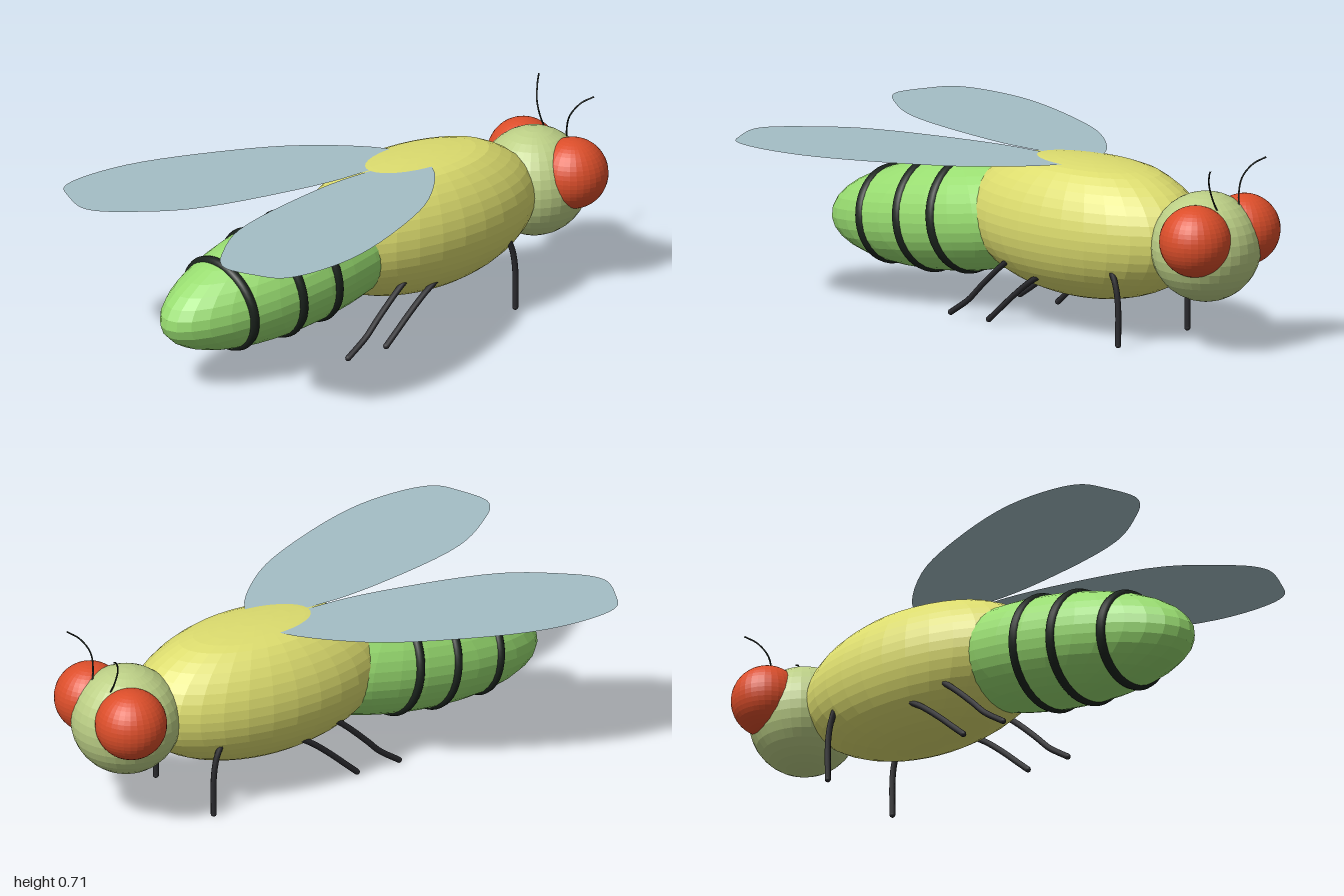
import * as THREE from 'three';

const mat = (name, color, extra = {}) => {
  const m = new THREE.MeshStandardMaterial({ color, ...extra });
  m.name = name;
  return m;
};

export function createModel() {
  const flat = { flatShading: true };
  const yellow = mat('thorax yellow', 0xdcdc6e, flat);
  const green = mat('abdomen green', 0x98dc70, flat);
  const paleGreen = mat('head green', 0xbccf86, flat);
  const red = mat('eye red', 0xdc4e2a, flat);
  const dark = mat('band black', 0x1c241e);
  const legGrey = mat('leg charcoal', 0x2a2a2e);
  const wingBlue = mat('wing blue', 0xa4bec6, { side: THREE.DoubleSide });

  const model = new THREE.Group();
  model.name = 'fly';
  const add = (name, geometry, material, parent = model) => {
    const mesh = new THREE.Mesh(geometry, material);
    mesh.name = name;
    parent.add(mesh);
    return mesh;
  };
  const tube = (points, radius) => new THREE.TubeGeometry(
    new THREE.CatmullRomCurve3(points.map(p => new THREE.Vector3(...p))), 16, radius, 8);

  // Thorax: ellipsoid whose back is pressed nearly flat
  const thorax = new THREE.SphereGeometry(1, 32, 24);
  thorax.scale(0.275, 0.268, 0.52).translate(0, 0.385, -0.24);
  const pos = thorax.attributes.position;
  for (let i = 0; i < pos.count; i++) {
    const y = pos.getY(i);
    if (y > 0.605) pos.setY(i, 0.605 + (y - 0.605) * 0.4);
  }
  thorax.computeVertexNormals();
  add('thorax', thorax, yellow);

  // Abdomen, drooping to the rear, with three raised bands
  const abdomen = new THREE.Group();
  abdomen.name = 'abdomen';
  abdomen.position.set(0, 0.33, 0.35);
  abdomen.rotation.x = 0.14;
  model.add(abdomen);
  const rx = 0.225, ry = 0.205, rz = 0.6;
  add('abdomenBody', new THREE.SphereGeometry(1, 32, 18).scale(rx, ry, rz), green, abdomen);
  for (const z of [-0.035, 0.13, 0.335]) {
    const k = Math.sqrt(1 - (z / rz) ** 2);
    const band = new THREE.TorusGeometry(rx * k - 0.009, 0.02, 10, 48);
    band.scale(1, (ry * k + 0.01) / (rx * k + 0.01), 1).translate(0, 0, z);
    add('abdomenBand', band, dark, abdomen);
  }

  // Head
  add('head', new THREE.SphereGeometry(0.2, 32, 18), paleGreen).position.set(0, 0.38, -0.8);

  // Wing outline in x and z, from the root round the outer edge
  const outline = [[0.04, -0.22], [0.127, -0.21], [0.35, 0], [0.5, 0.27], [0.615, 0.6], [0.622, 0.84],
    [0.59, 0.92], [0.52, 0.96], [0.4, 1], [0.34, 0.98], [0.26, 0.9], [0.137, 0.72],
    [0.037, 0.35], [0.003, 0.05]];

  for (const [side, s] of [['left', 1], ['right', -1]]) {
    add(side + 'Eye', new THREE.SphereGeometry(0.13, 32, 24), red).position.set(s * 0.135, 0.43, -0.866);

    add(side + 'Antenna', tube([[0.055, 0.52, -0.91], [0.07, 0.57, -0.895], [0.09, 0.63, -0.893],
      [0.12, 0.68, -0.92], [0.152, 0.705, -0.955]].map(([x, y, z]) => [s * x, y, z]), 0.003), dark);

    const curve = new THREE.CatmullRomCurve3(
      outline.map(([x, z]) => new THREE.Vector3(s * x, z, 0)), true, 'centripetal');
    const wing = new THREE.ShapeGeometry(
      new THREE.Shape(curve.getPoints(70).map(p => new THREE.Vector2(p.x, p.y))));
    wing.rotateX(Math.PI / 2).translate(0, 0.614, 0);
    add(side + 'Wing', wing, wingBlue);

    // Legs as paths in y and z
    const legs = {
      FrontLeg: [[0.28, -0.515], [0.23, -0.535], [0.16, -0.547], [0.008, -0.548]],
      MiddleLeg: [[0.22, -0.19], [0.175, -0.12], [0.11, -0.04], [0.065, 0.01], [0.016, 0.065]],
      RearLeg: [[0.25, -0.03], [0.2, 0.03], [0.125, 0.11], [0.075, 0.16], [0.016, 0.245]],
    };
    for (const [name, path] of Object.entries(legs)) {
      add(side + name, tube(path.map(([y, z]) => [s * 0.19, y, z]), 0.011), legGrey);
      // Rounded foot closing the tube
      const [y, z] = path[path.length - 1];
      add(side + name + 'Foot', new THREE.SphereGeometry(0.011, 10, 8), legGrey)
        .position.set(s * 0.19, Math.max(y, 0.011), z);
    }
  }
  return model;
}
